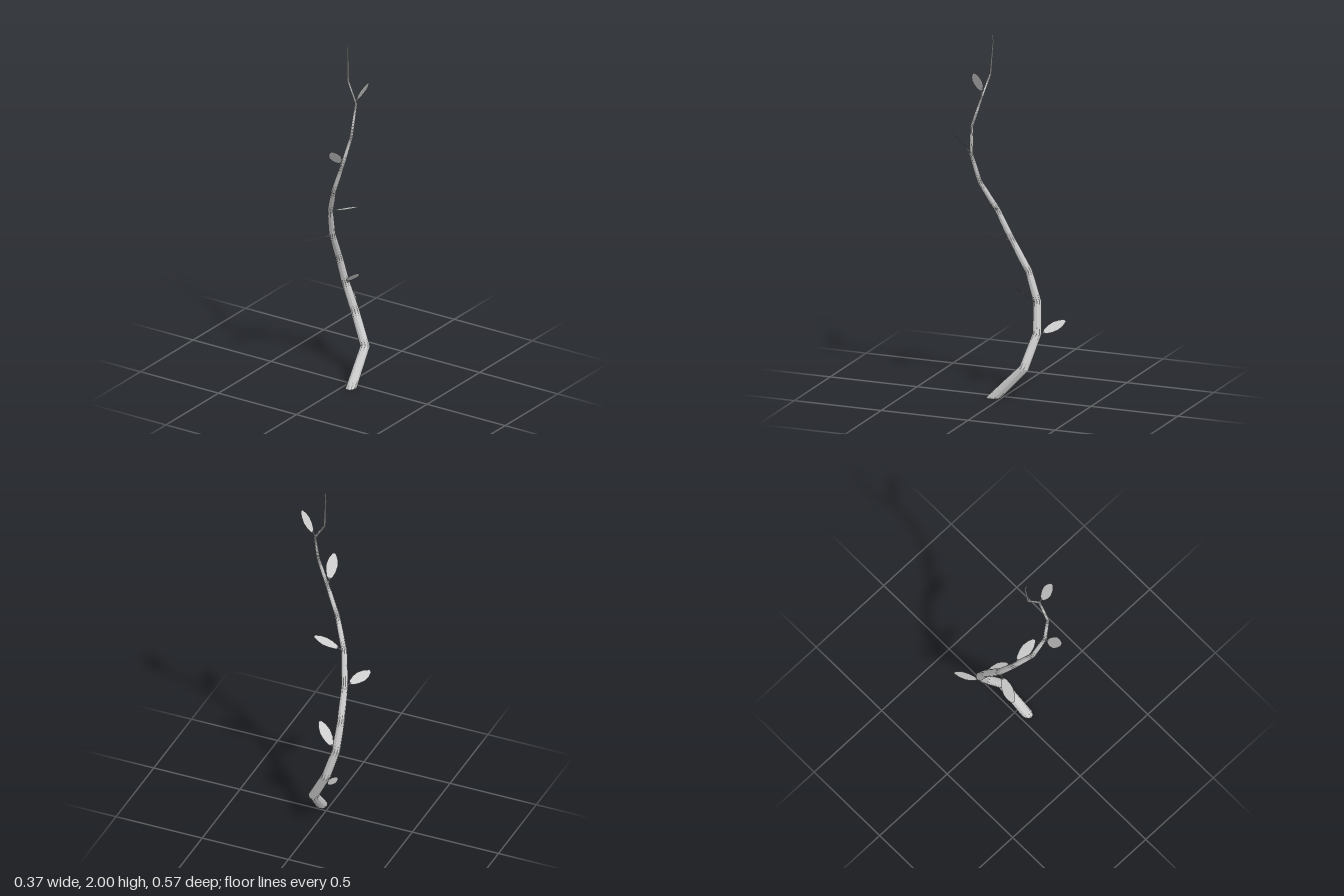
import * as THREE from 'three';

const SIDES = 10;
const UP = new THREE.Vector3(0, 1, 0);
const V = (a) => new THREE.Vector3(...a);

// Centre line of the winding stem: x, y, z
const path = [
  [0.043, 0, 0.043], [0.02, 0.173, -0.122], [-0.07, 0.343, -0.16], [-0.12, 0.51, -0.142],
  [-0.125, 0.67, -0.09], [-0.108, 0.84, 0], [-0.073, 1.01, 0.071], [-0.003, 1.17, 0.141],
  [0.066, 1.34, 0.162], [0.108, 1.51, 0.14], [0.101, 1.68, 0.083], [0.037, 1.785, 0.063],
  [0.026, 1.965, 0.052], [0.031, 2, 0.056],
].map(V);

// Leaves: attachment point, tip and the direction the blade faces
const leaves = [
  { base: [-0.085, 0.335, -0.165], tip: [-0.18, 0.405, -0.281], face: [0.61, 0.79, -0.09] },
  { base: [-0.11, 0.505, -0.14], tip: [0.012, 0.617, -0.06], face: [-0.5, 0.75, -0.4] },
  { base: [-0.112, 0.83, 0.005], tip: [-0.181, 0.843, 0.177], face: [-0.34, 0.91, -0.24] },
  { base: [-0.07, 1.01, 0.066], tip: [0.096, 1.067, 0.056], face: [-0.33, 0.94, -0.08] },
  { base: [0.06, 1.34, 0.165], tip: [0.075, 1.466, 0.282], face: [-0.48, 0.6, -0.62] },
  { base: [0.1, 1.685, 0.085], tip: [0.186, 1.827, 0.095], face: [-0.85, 0.53, -0.09] },
];

// Half outline of a blade: fraction of the length, half width
const outline = [[0.16, 0.004], [0.23, 0.016], [0.42, 0.028], [0.62, 0.032], [0.82, 0.024], [0.98, 0.008]];

// Faceted, tapering tube with closed ends
function stemGeometry() {
  const pos = [], index = [];
  const last = path.length - 1;
  path.forEach((p, i) => {
    const before = path[Math.max(i - 1, 0)], after = path[Math.min(i + 1, last)];
    const dir = after.clone().sub(before).normalize();
    const turn = new THREE.Quaternion().setFromUnitVectors(UP, dir);
    const r = 0.0295 - 0.013 * p.y;
    for (let k = 0; k < SIDES; k++) {
      const a = (k / SIDES) * Math.PI * 2;
      const o = new THREE.Vector3(Math.sin(a) * r, 0, Math.cos(a) * r).applyQuaternion(turn);
      // The foot and the top are cut level
      if (i === 0 || i === last) o.addScaledVector(dir, -o.y / dir.y);
      pos.push(p.x + o.x, p.y + o.y, p.z + o.z);
      if (i < last) {
        const a0 = i * SIDES + k, b0 = i * SIDES + (k + 1) % SIDES;
        index.push(a0, b0, b0 + SIDES, a0, b0 + SIDES, a0 + SIDES);
      }
    }
  });
  const top = last * SIDES;
  for (let k = 1; k < SIDES - 1; k++) {
    index.push(0, k + 1, k, top, top + k, top + k + 1);
  }
  const g = new THREE.BufferGeometry();
  g.setAttribute('position', new THREE.Float32BufferAttribute(pos, 3));
  g.setIndex(index);
  g.computeVertexNormals();
  return g;
}

// Flat blade on a short stalk, growing along +y and facing +z
function makeLeaf({ base, tip, face }, stemMat, leafMat) {
  const start = V(base), along = V(tip).sub(start);
  const length = along.length();
  along.normalize();
  const across = along.clone().cross(V(face)).normalize();
  const normal = across.clone().cross(along);

  const right = outline.map(([t, w]) => new THREE.Vector2(w, t * length));
  const left = outline.map(([t, w]) => new THREE.Vector2(-w, t * length)).reverse();
  const blade = new THREE.Mesh(new THREE.ShapeGeometry(new THREE.Shape([...right, ...left])), leafMat);
  blade.name = 'leafBlade';

  const stalkLength = length * 0.2;
  const stalk = new THREE.Mesh(new THREE.CylinderGeometry(0.003, 0.004, stalkLength, 5), stemMat);
  stalk.position.y = stalkLength / 2;
  stalk.name = 'leafStalk';

  const leaf = new THREE.Group();
  leaf.add(blade, stalk);
  leaf.quaternion.setFromRotationMatrix(new THREE.Matrix4().makeBasis(across, along, normal));
  leaf.position.copy(start);
  return leaf;
}

export function createModel() {
  const stemMat = new THREE.MeshStandardMaterial({ color: 0xcccccc, flatShading: true });
  const leafMat = new THREE.MeshStandardMaterial({ color: 0xcccccc, flatShading: true, side: THREE.DoubleSide });
  const vine = new THREE.Group();
  vine.name = 'vine';

  const stem = new THREE.Mesh(stemGeometry(), stemMat);
  stem.name = 'stem';
  vine.add(stem);

  leaves.forEach((spec, i) => {
    const leaf = makeLeaf(spec, stemMat, leafMat);
    leaf.name = `leaf${i + 1}`;
    vine.add(leaf);
  });
  return vine;
}
